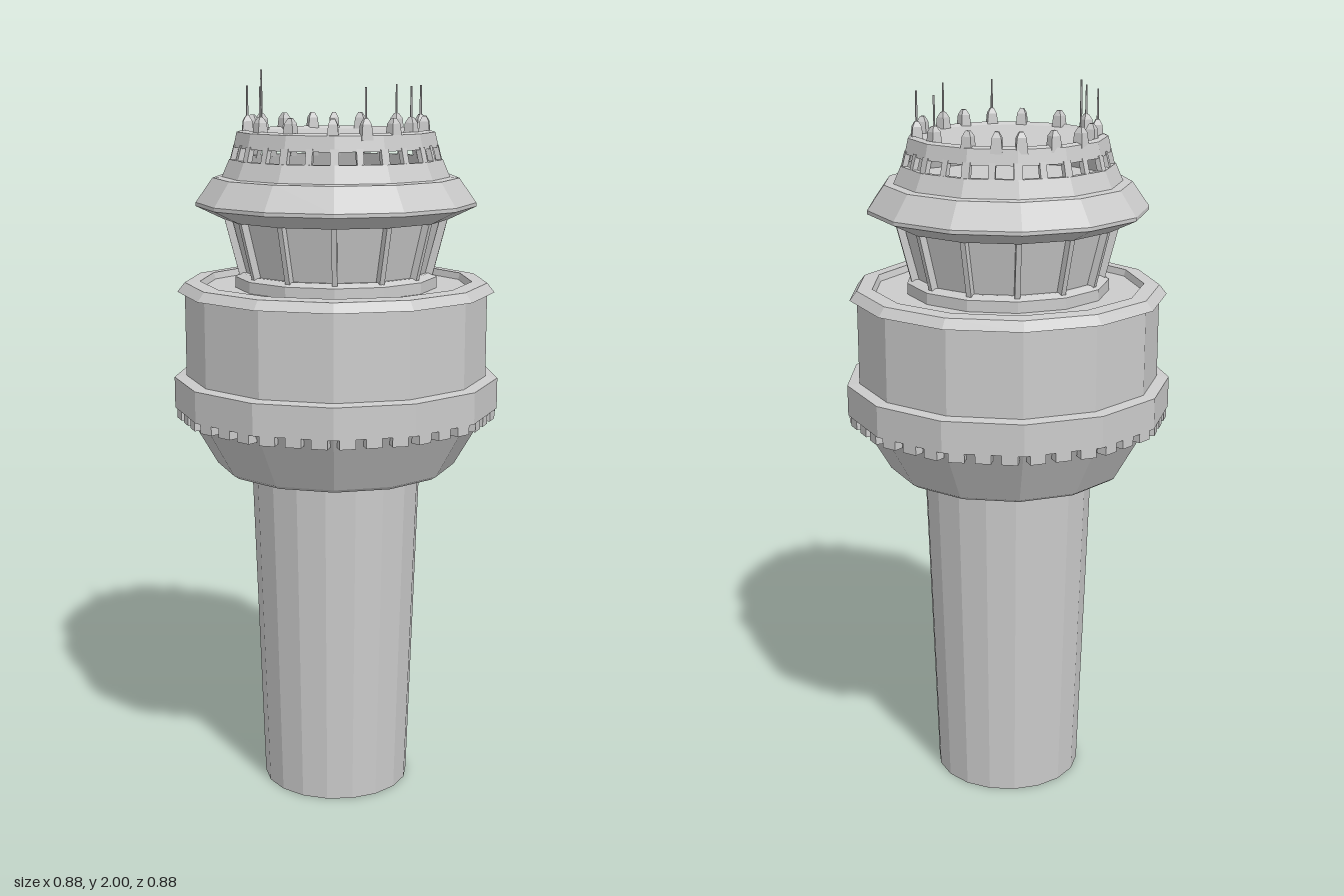
import * as THREE from 'three';

const SIDES = 13;
const STEP = (Math.PI * 2) / SIDES;
const APOTHEM = Math.cos(STEP / 2);

export function createModel() {
  const model = new THREE.Group();
  const tower = new THREE.Group();
  tower.name = 'tower';
  tower.position.z = 0.006;
  model.add(tower);
  const mat = new THREE.MeshStandardMaterial({ color: 0xcccccc, flatShading: true, side: THREE.DoubleSide });

  const add = (name, geometry, parent = tower) => {
    const mesh = new THREE.Mesh(geometry, mat);
    mesh.name = name;
    parent.add(mesh);
    return mesh;
  };

  // Faceted ring or drum from [radius, height] pairs, one corner at the back
  const turned = (name, profile, sides = SIDES) =>
    add(name, new THREE.LatheGeometry(profile.map(([r, y]) => new THREE.Vector2(r, y)), sides, Math.PI));

  // Pivot on facet k, shifted t along it; its local z points outwards
  const onFacet = (name, k, t, r, y, tilt = 0) => {
    const a = Math.PI + (k + 0.5) * STEP;
    const g = new THREE.Group();
    g.name = name;
    g.position.set(Math.sin(a) * r * APOTHEM + Math.cos(a) * t, y, Math.cos(a) * r * APOTHEM - Math.sin(a) * t);
    g.rotation.set(tilt, a, 0, 'YXZ');
    tower.add(g);
    return g;
  };

  // Bar between two points at a given angle, kept facing outwards
  const bar = (name, a, r0, y0, r1, y1, w, d) => {
    const g = new THREE.Group();
    g.name = name;
    g.rotation.y = a;
    tower.add(g);
    const m = add(name + 'Bar', new THREE.BoxGeometry(w, Math.hypot(r1 - r0, y1 - y0), d), g);
    m.position.set(0, (y0 + y1) / 2, (r0 + r1) / 2);
    m.rotation.x = Math.atan2(r1 - r0, y1 - y0);
  };

  // Shaft
  turned('shaft', [[0, 0], [0.205, 0], [0.235, 0.93]], 18);

  // Flared underside and overhanging band
  turned('flare', [[0.22, 0.925], [0.315, 0.925], [0.33, 0.935], [0.425, 1.1]]);
  turned('band', [[0.41, 1.095], [0.445, 1.095], [0.445, 1.18], [0.405, 1.185]]);
  for (let k = 0; k < SIDES; k++) {
    for (const t of [-0.069, 0, 0.069]) {
      const tooth = onFacet('bandTooth', k, t, 0.428, 1.086);
      add('toothBlock', new THREE.BoxGeometry(0.042, 0.032, 0.03), tooth);
    }
  }

  // Main drum with lip and sunken deck
  turned('drum', [
    [0.412, 1.18], [0.412, 1.412], [0.432, 1.415], [0.412, 1.44],
    [0.37, 1.443], [0.365, 1.425], [0, 1.425],
  ]);

  // Control room
  turned('cabBase', [[0.275, 1.425], [0.275, 1.455], [0.255, 1.465], [0.24, 1.465]]);
  turned('cabGlass', [[0.243, 1.455], [0.283, 1.62]]);
  for (let k = 0; k < SIDES; k++) {
    bar('cabMullion', Math.PI + k * STEP, 0.252, 1.455, 0.294, 1.62, 0.014, 0.02);
  }

  // Eave
  turned('eave', [
    [0.25, 1.61], [0.305, 1.61], [0.378, 1.645], [0.378, 1.655],
    [0.332, 1.72], [0.3, 1.723], [0, 1.723],
  ]);

  // Upper storey: sill, open windows with posts, and roof
  turned('upperSill', [[0.308, 1.72], [0.287, 1.768], [0.272, 1.768], [0.29, 1.72]]);
  turned('roof', [[0, 1.8], [0.26, 1.8], [0.275, 1.8], [0.266, 1.84], [0.25, 1.845], [0.235, 1.838], [0, 1.838]]);
  for (let k = 0; k < SIDES; k++) {
    bar('windowPost', Math.PI + k * STEP, 0.278, 1.762, 0.267, 1.805, 0.022, 0.014);
    const post = onFacet('windowPost', k, 0, 0.274, 1.784, -0.26);
    add('windowPostBar', new THREE.BoxGeometry(0.018, 0.045, 0.014), post);
  }

  // Roof pods: x, z and, where there is one, the antenna tip height
  const pods = [
    [-0.01, -0.251], [0.05, -0.241], [0.12, -0.216], [0.2, -0.122, 1.96],
    [0.24, -0.02, 1.96], [0.22, 0.088], [0.16, 0.172, 1.96], [0.1, 0.222],
    [0.02, 0.248, 1.96], [-0.063, 0.238], [-0.16, 0.178], [-0.222, 0.09, 1.96],
    [-0.236, -0.022, 1.96], [-0.207, -0.108], [-0.17, -0.176, 2.0], [-0.095, -0.228],
  ];
  for (const [x, z, tip] of pods) {
    const pod = new THREE.Group();
    pod.name = 'roofPod';
    pod.position.set(x, 0, z);
    pod.rotation.y = Math.atan2(x, z);
    tower.add(pod);
    const foot = add('podFoot', new THREE.CylinderGeometry(0.017, 0.022, 0.04, 4, 1, false, Math.PI / 4), pod);
    foot.position.y = 1.848;
    const cap = add('podCap', new THREE.CylinderGeometry(0.007, 0.017, 0.014, 4, 1, false, Math.PI / 4), pod);
    cap.position.y = 1.875;
    if (tip) {
      const antenna = add('antenna', new THREE.CylinderGeometry(0.0025, 0.0035, tip - 1.87, 5), pod);
      antenna.position.y = (tip + 1.87) / 2;
    }
  }
  return model;
}
